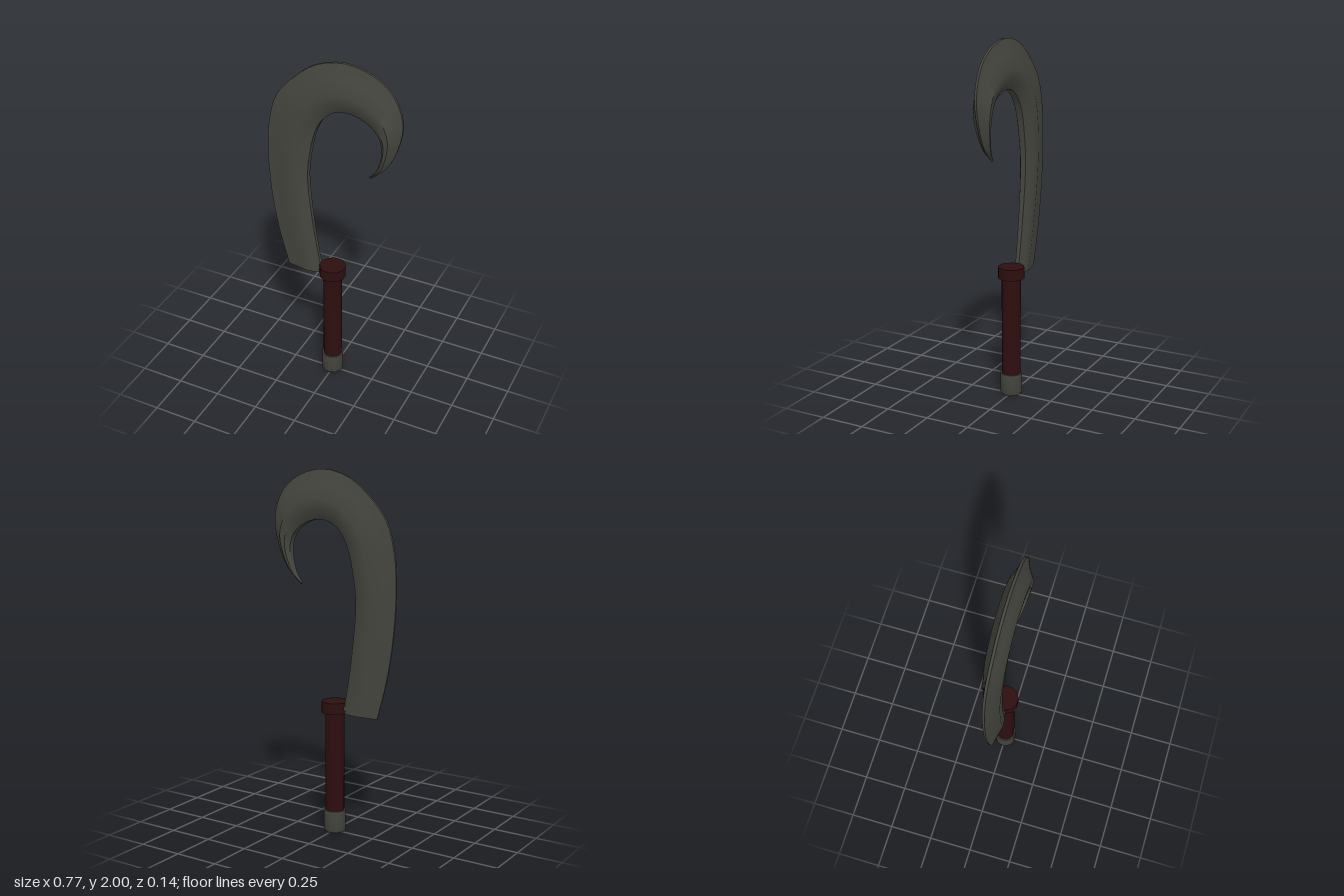
import * as THREE from 'three';
import { toCreasedNormals } from 'three/addons/utils/BufferGeometryUtils.js';

const steel = new THREE.MeshStandardMaterial({ color: 0x45463f });
steel.name = 'dark steel';
const grip = new THREE.MeshStandardMaterial({ color: 0x2e0e0f });
grip.name = 'dark red grip';

// Stations along the blade: outer edge x, y, inner edge x, y, half thickness
const stations = [
  [-0.275, 0.68, -0.065, 0.69, 0.03],
  [-0.33, 0.89, -0.098, 0.87, 0.034],
  [-0.37, 1.13, -0.13, 1.1, 0.04],
  [-0.385, 1.39, -0.145, 1.31, 0.045],
  [-0.37, 1.59, -0.125, 1.47, 0.05],
  [-0.32, 1.75, -0.095, 1.59, 0.053],
  [-0.215, 1.87, -0.05, 1.67, 0.054],
  [-0.095, 1.96, 0.01, 1.72, 0.054],
  [0.065, 2.0, 0.09, 1.735, 0.054],
  [0.22, 1.965, 0.18, 1.71, 0.054],
  [0.33, 1.88, 0.25, 1.655, 0.053],
  [0.385, 1.735, 0.277, 1.58, 0.05],
  [0.36, 1.58, 0.27, 1.5, 0.038],
  [0.3, 1.455, 0.243, 1.425, 0.022],
  [0.215, 1.375, 0.208, 1.385, 0.006],
];

// Half section from outer to inner edge: position across, share of thickness
const section = [[0, 0.13], [0.3, 0.48], [0.58, 1], [0.82, 0.88], [1, 0.35]];

function bladeGeometry() {
  const curve = (f) => new THREE.CatmullRomCurve3(stations.map(f));
  const outer = curve((s) => new THREE.Vector3(s[0], s[1], s[4]));
  const inner = curve((s) => new THREE.Vector3(s[2], s[3], s[4]));
  const ring = [...section, ...section.map(([u, w]) => [u, -w]).reverse()];
  const n = ring.length, steps = 42;
  const pos = [], index = [];
  for (let i = 0; i <= steps; i++) {
    const a = outer.getPoint(i / steps), b = inner.getPoint(i / steps);
    for (const [u, w] of ring) {
      pos.push(a.x + (b.x - a.x) * u, a.y + (b.y - a.y) * u, a.z * w);
    }
  }
  for (let i = 0; i < steps; i++) {
    for (let j = 0; j < n; j++) {
      const a = i * n + j, b = i * n + (j + 1) % n;
      index.push(a, b, b + n, a, b + n, a + n);
    }
  }
  // Close the base and the tip
  const last = steps * n;
  for (let j = 1; j < n - 1; j++) {
    index.push(0, j + 1, j, last, last + j, last + j + 1);
  }
  const g = new THREE.BufferGeometry();
  g.setAttribute('position', new THREE.Float32BufferAttribute(pos, 3));
  g.setIndex(index);
  return toCreasedNormals(g, 0.6);
}

export function createModel() {
  const model = new THREE.Group();
  const add = (name, geometry, material) => {
    const mesh = new THREE.Mesh(geometry, material);
    mesh.name = name;
    model.add(mesh);
    return mesh;
  };
  // Twelve-sided turned part from a radius and height profile
  const turned = (name, profile, material) => {
    const pts = profile.map(([r, y]) => new THREE.Vector2(r, y));
    const g = new THREE.LatheGeometry(pts, 12, Math.PI / 12);
    add(name, toCreasedNormals(g, 0.7), material).position.x = -0.004;
  };

  add('hookedBlade', bladeGeometry(), steel);

  // Short tang joining the blade to the collar
  const tang = add('tang', new THREE.CylinderGeometry(0.022, 0.022, 0.08, 8), steel);
  tang.rotation.z = Math.PI / 2;
  tang.position.set(-0.07, 0.715, 0);

  turned('handle', [[0, 0.1], [0.054, 0.1], [0.054, 0.7], [0, 0.7]], grip);
  turned('collar', [[0, 0.685], [0.074, 0.685], [0.074, 0.748], [0, 0.748]], grip);
  turned('pommel', [[0, 0], [0.052, 0], [0.062, 0.012], [0.062, 0.127], [0, 0.127]], steel);
  return model;
}
